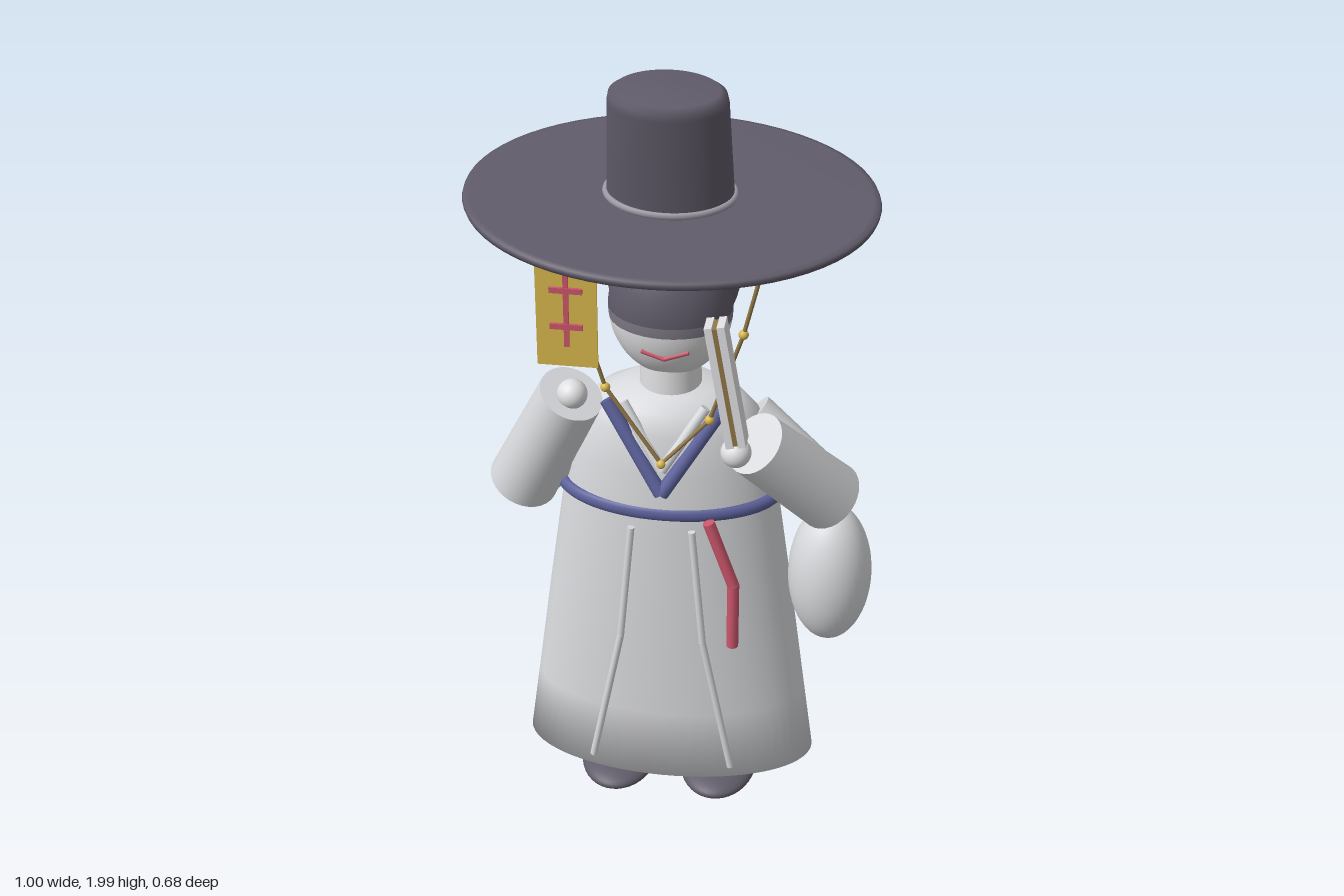
import * as THREE from 'three';

const mat = (name, color) => {
  const m = new THREE.MeshStandardMaterial({ color });
  m.name = name;
  return m;
};
const V = (x, y, z) => new THREE.Vector3(x, y, z);
const CX = -0.013; // body axis

export function createModel() {
  const root = new THREE.Group();
  root.name = 'robedFigure';
  const dark = mat('charcoal', 0x5f5a68);
  const robe = mat('robeWhite', 0xd9dadd);
  const skin = mat('paleSkin', 0xe0e0e2);
  const blue = mat('sashBlue', 0x5c619a);
  const red = mat('ribbonRed', 0xcc566c);
  const gold = mat('gold', 0xd6b64e);
  const cord = mat('cordBrown', 0x8f7645);
  const grey = mat('trimGrey', 0x9a98a2);
  const band = mat('bandGrey', 0x7c7883);
  robe.side = THREE.DoubleSide;

  const add = (name, geo, material, pos = [0, 0, 0], parent = root) => {
    const m = new THREE.Mesh(geo, material);
    m.name = name;
    m.position.set(...pos);
    parent.add(m);
    return m;
  };
  const ball = (name, material, pos, r, t0 = 0, t1 = Math.PI) => {
    const g = new THREE.SphereGeometry(1, 40, 28, 0, Math.PI * 2, t0, t1 - t0);
    return add(name, g.scale(...r), material, pos);
  };
  // Cylinder between two points
  const rod = (name, material, a, b, r0, r1 = r0, sides = 12) => {
    const d = b.clone().sub(a);
    const m = add(name, new THREE.CylinderGeometry(r1, r0, d.length(), sides), material);
    m.position.copy(a).addScaledVector(d, 0.5);
    m.quaternion.setFromUnitVectors(V(0, 1, 0), d.normalize());
    return m;
  };
  // Rods along a bent path with round joints
  const bentRod = (name, material, pts, r) => {
    for (let i = 0; i < pts.length - 1; i++) {
      rod(name, material, pts[i], pts[i + 1], r);
      if (i) ball(name + 'Joint', material, pts[i].toArray(), [r, r, r]);
    }
  };
  // Smooth loft through ellipses [y, rx, rz]
  const loft = (rows, n = 64) => {
    const pos = [], idx = [];
    for (const [y, rx, rz] of rows) {
      for (let i = 0; i < n; i++) {
        const a = (i / n) * Math.PI * 2;
        pos.push(rx * Math.sin(a), y, rz * Math.cos(a));
      }
    }
    for (let j = 0; j < rows.length - 1; j++) {
      for (let i = 0; i < n; i++) {
        const a = j * n + i, b = j * n + (i + 1) % n;
        idx.push(a, b, b + n, a, b + n, a + n);
      }
    }
    const g = new THREE.BufferGeometry();
    g.setAttribute('position', new THREE.Float32BufferAttribute(pos, 3));
    g.setIndex(idx);
    g.computeVertexNormals();
    return g;
  };

  // Robe
  add('robe', loft([
    [0.1, 0.001, 0.001], [0.1, 0.377, 0.18], [0.3, 0.35, 0.176], [0.6, 0.31, 0.17], [0.9, 0.268, 0.162],
    [1.02, 0.25, 0.155], [1.12, 0.22, 0.143], [1.17, 0.175, 0.12], [1.2, 0.11, 0.09], [1.21, 0.001, 0.001],
  ]), robe, [CX, 0, 0]);
  const belt = new THREE.TorusGeometry(0.27, 0.018, 12, 64).rotateX(Math.PI / 2);
  add('belt', belt.scale(1, 1, 0.58), blue, [CX, 0.91, 0]);

  // Robe seams, collar and shoes, mirrored
  for (const s of [-1, 1]) {
    const x = (v) => CX + s * v;
    bentRod('seam', robe, [V(x(0.075), 0.87, 0.164), V(x(0.104), 0.54, 0.17), V(x(0.18), 0.145, 0.172)], 0.009);
    rod('collar', blue, V(x(0.14), 1.195, 0.105), V(x(0), 0.975, 0.165), 0.018);
    rod('innerCollar', robe, V(x(0.1), 1.195, 0.11), V(x(0), 1.04, 0.16), 0.013);
    ball('shoe', dark, [x(0.133), 0.04, 0.035], [0.1, 0.036, 0.145]);
  }
  bentRod('ribbon', red, [V(0.105, 0.91, 0.176), V(0.168, 0.73, 0.178), V(0.168, 0.545, 0.178)], 0.015);

  // Arms: shoulder, elbow, cuff, hand
  const arms = [
    ['right', V(-0.19, 1.08, -0.03), V(-0.385, 0.885, 0.01), V(-0.24, 1.2, 0.1), V(-0.235, 1.21, 0.115)],
    ['left', V(0.17, 1.08, -0.03), V(0.385, 0.905, 0.01), V(0.21, 1.125, 0.14), V(0.17, 1.125, 0.185)],
  ];
  for (const [side, shoulder, elbow, cuff, hand] of arms) {
    rod(side + 'UpperSleeve', robe, shoulder, elbow, 0.08, 0.075, 32);
    rod(side + 'ForeSleeve', robe, elbow, cuff, 0.088, 0.08, 32);
    ball(side + 'Hand', skin, hand.toArray(), [0.037, 0.037, 0.037]);
  }
  ball('hangingSleeve', robe, [0.393, 0.68, 0.013], [0.105, 0.196, 0.106]);

  // Folded fan
  const fan = new THREE.Group();
  fan.name = 'fan';
  fan.position.set(0.146, 1.318, 0.193);
  fan.rotation.z = 0.17;
  root.add(fan);
  for (const x of [-0.015, 0.015]) add('fanSlat', new THREE.BoxGeometry(0.018, 0.325, 0.055), skin, [x, 0, 0], fan);
  add('fanCore', new THREE.BoxGeometry(0.012, 0.315, 0.05), cord, [0, 0, 0], fan);

  // Head, split by colour at the headband
  const head = [CX, 1.41, 0], hr = [0.15, 0.18, 0.125];
  add('neck', new THREE.CylinderGeometry(0.073, 0.078, 0.12, 32), skin, [CX, 1.21, 0]);
  ball('face', skin, head, hr, 1.72);
  ball('headband', band, head, hr, 1.57, 1.72);
  ball('cap', dark, head, hr, 0, 1.57);
  ball('hair', dark, [CX, 1.48, -0.045], [0.162, 0.19, 0.127]);
  bentRod('mouth', red, [V(-0.068, 1.338, 0.106), V(CX, 1.322, 0.11), V(0.045, 1.342, 0.106)], 0.006);

  // Tilted oval hat
  const hat = new THREE.Group();
  hat.name = 'hat';
  hat.position.set(CX, 1.69, 0);
  hat.rotation.x = 0.15;
  root.add(hat);
  const lathe = (pts) => new THREE.LatheGeometry(pts.map((p) => new THREE.Vector2(...p)), 64);
  add('brim', lathe([
    [0, -0.011], [0.47, -0.011], [0.485, -0.009], [0.488, 0], [0.485, 0.009], [0.47, 0.012], [0, 0.012],
  ]).scale(1, 1, 0.7), dark, [0, 0, 0], hat);
  add('crown', lathe([
    [0.15, 0.005], [0.145, 0.12], [0.139, 0.265], [0.135, 0.285], [0.12, 0.296], [0, 0.3],
  ]).scale(1, 1, 0.66), dark, [0, 0, 0], hat);
  const ring = new THREE.TorusGeometry(0.15, 0.009, 10, 64).rotateX(Math.PI / 2);
  add('hatRing', ring.scale(1, 1, 0.68), grey, [0, 0.02, 0], hat);

  // Beaded hat cord
  const path = [[0.22, 1.6], [0.178, 1.42], [0.1, 1.18], [CX, 1.06], [-0.15, 1.25], [-0.2, 1.42], [-0.245, 1.6]]
    .map(([x, y]) => V(x, y, y < 1.1 ? 0.162 : 0.138));
  bentRod('hatCord', cord, path, 0.005);
  for (const p of path) ball('bead', gold, p.toArray(), [0.012, 0.012, 0.012]);

  // Hanging paper charm with simple red strokes
  add('paperCharm', new THREE.BoxGeometry(0.144, 0.315, 0.006), gold, [-0.23, 1.485, 0.18]);
  add('charmStroke', new THREE.BoxGeometry(0.012, 0.215, 0.008), red, [-0.23, 1.49, 0.185]);
  for (const y of [1.53, 1.435]) add('charmStroke', new THREE.BoxGeometry(0.078, 0.014, 0.008), red, [-0.23, y, 0.186]);

  return root;
}
